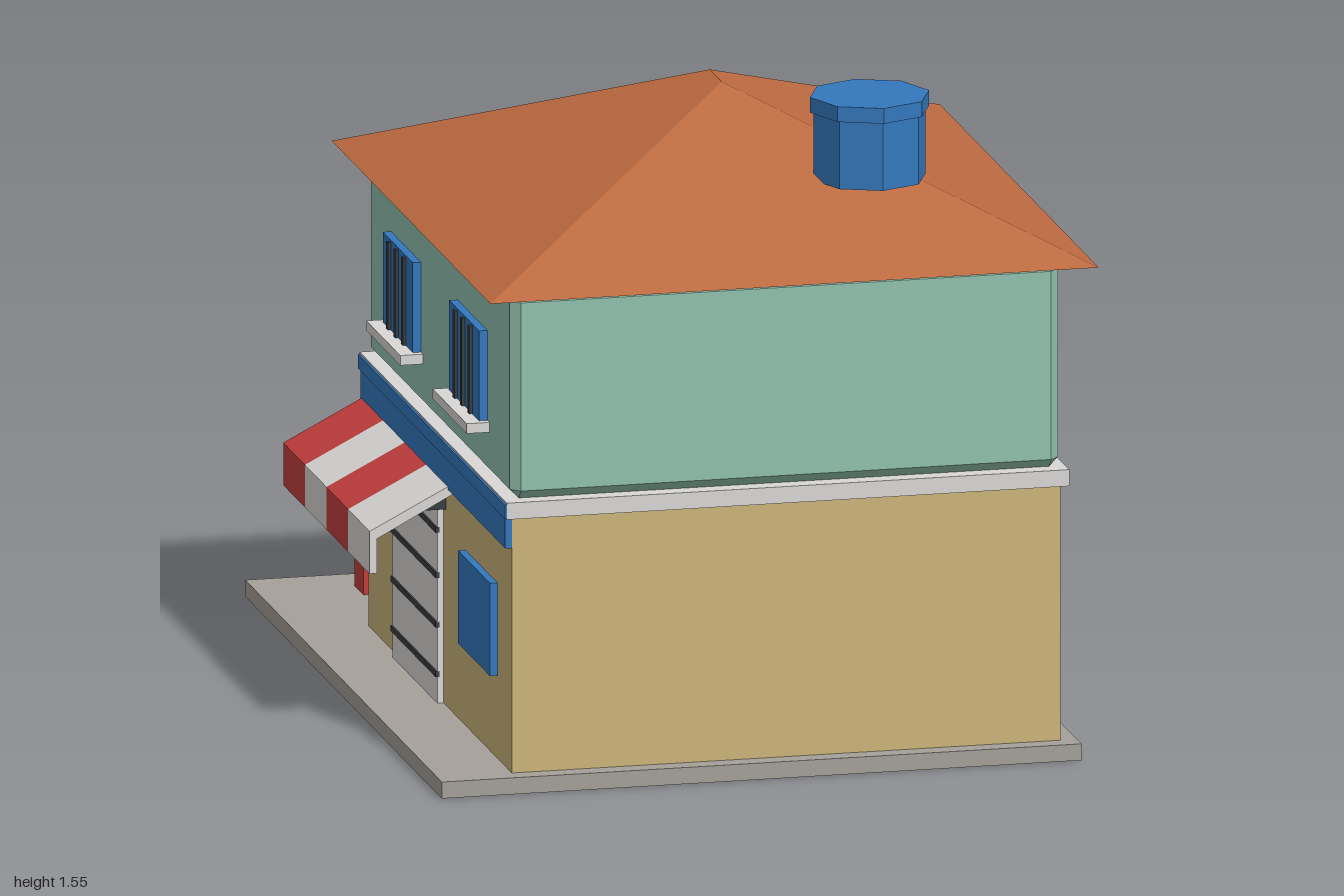
import * as THREE from 'three';
import { ConvexGeometry } from 'three/addons/geometries/ConvexGeometry.js';

const mat = (name, color) => {
  const m = new THREE.MeshStandardMaterial({ color });
  m.name = name;
  return m;
};

export function createModel() {
  const pavement = mat('pavement', 0xa5a199);
  const beige = mat('beigeWall', 0xccb67a);
  const mint = mat('mintWall', 0x92c2b0);
  const white = mat('paleGrey', 0xdad8d6);
  const tile = mat('roofTile', 0xbc6a40);
  const blue = mat('blue', 0x3478bd);
  const dark = mat('darkGrey', 0x3a3d42);
  const red = mat('red', 0xc23f3d);
  const yellow = mat('yellow', 0xd2a636);
  const green = mat('leafGreen', 0x5cb04a);
  tile.flatShading = blue.flatShading = green.flatShading = false;

  const model = new THREE.Group();
  model.name = 'cornerShop';

  const add = (parent, name, geometry, material) => {
    const mesh = new THREE.Mesh(geometry, material);
    mesh.name = name;
    parent.add(mesh);
    return mesh;
  };
  // box given by its limits on each axis
  const box = (parent, name, material, x0, x1, y0, y1, z0, z1) => {
    const mesh = add(parent, name, new THREE.BoxGeometry(x1 - x0, y1 - y0, z1 - z0), material);
    mesh.position.set((x0 + x1) / 2, (y0 + y1) / 2, (z0 + z1) / 2);
    return mesh;
  };
  const group = (parent, name) => {
    const g = new THREE.Group();
    g.name = name;
    parent.add(g);
    return g;
  };

  // main volumes
  box(model, 'pavementSlab', pavement, -0.78, 0.765, 0, 0.04, -1, 0.97);
  box(model, 'lowerWalls', beige, -0.6, 0.725, 0.04, 0.66, -0.51, 0.925);
  box(model, 'floorTrim', white, -0.617, 0.742, 0.66, 0.7, -0.53, 0.945);

  // upper storey with chamfered edges
  const c = 0.022, half = [0.6625, 0.25, 0.7175], pts = [];
  for (const sx of [-1, 1]) for (const sy of [-1, 1]) for (const sz of [-1, 1])
    for (let k = 0; k < 3; k++) {
      const h = half.map((v, i) => (i === k ? v : v - c));
      pts.push(new THREE.Vector3(sx * h[0], sy * h[1], sz * h[2]));
    }
  add(model, 'upperWalls', new ConvexGeometry(pts), mint).position.set(0.0625, 0.95, 0.2075);

  // hipped roof
  const roofPts = [[-0.67, 1.2, -0.59], [0.8, 1.2, -0.59], [-0.67, 1.2, 1], [0.8, 1.2, 1],
    [0.065, 1.513, 0.15], [0.065, 1.513, 0.268]].map(p => new THREE.Vector3(...p));
  add(model, 'roof', new ConvexGeometry(roofPts), tile);

  // octagonal water tank
  const prism = (name, r, y0, y1) => {
    const g = new THREE.CylinderGeometry(r, r, y1 - y0, 8).toNonIndexed();
    g.computeVertexNormals();
    add(model, name, g, blue).position.set(0.34, (y0 + y1) / 2, 0.61);
  };
  prism('tankBody', 0.135, 1.35, 1.515);
  prism('tankLid', 0.144, 1.515, 1.552);

  // the two street fronts: local x runs along the wall, local z points outward
  const back = group(model, 'backFront');
  back.position.z = -0.51;
  back.rotation.y = Math.PI;
  const side = group(model, 'sideFront');
  side.position.x = -0.6;
  side.rotation.y = -Math.PI / 2;

  // blue fascia bands
  box(back, 'fascia', blue, -0.725, 0.615, 0.585, 0.66, 0, 0.018);
  box(back, 'fasciaStrip', blue, -0.742, 0.61, 0.662, 0.696, 0.018, 0.025);
  box(side, 'fascia', blue, -0.525, 0.925, 0.585, 0.66, 0, 0.016);
  box(side, 'fasciaStrip', blue, -0.525, 0.945, 0.662, 0.696, 0.016, 0.022);
  box(back, 'signPlate', white, -0.47, 0.33, 0.585, 0.615, 0.018, 0.028);

  // striped awnings: one extruded cross-section per stripe
  const awning = (parent, profile, x0, x1, count, colours) => {
    const g = group(parent, 'awning');
    const shape = new THREE.Shape(profile.map(p => new THREE.Vector2(...p)));
    const w = (x1 - x0) / count;
    for (let i = 0; i < count; i++) {
      const geo = new THREE.ExtrudeGeometry(shape, { depth: w, bevelEnabled: false });
      geo.rotateY(-Math.PI / 2);
      geo.translate(x0 + (i + 1) * w, 0, 0);
      add(g, 'awningStripe', geo, colours[i % 2]);
    }
  };
  awning(back, [[0, 0.583], [0.353, 0.44], [0.353, 0.357], [0.375, 0.357], [0.375, 0.455], [0, 0.603]],
    -0.725, 0.6, 6, [red, white]);
  awning(side, [[0, 0.575], [0.187, 0.476], [0.187, 0.392], [0.205, 0.392], [0.205, 0.495], [0, 0.6]],
    -0.515, 0.35, 4, [red, white]);

  // barred windows with sills
  const barredWindow = (parent, x) => {
    const g = group(parent, 'barredWindow');
    box(g, 'windowPane', blue, x - 0.15, x + 0.15, 0.83, 1.052, 0, 0.02);
    for (const d of [-0.075, 0, 0.075])
      box(g, 'windowBar', dark, x + d - 0.009, x + d + 0.009, 0.835, 1.047, 0.015, 0.028);
    box(g, 'windowSill', white, x - 0.17, x + 0.17, 0.81, 0.834, 0, 0.055);
  };
  for (const x of [-0.4, 0.27]) barredWindow(back, x);
  for (const x of [-0.135, 0.53]) barredWindow(side, x);

  // plant on a sill
  add(back, 'plant', new THREE.IcosahedronGeometry(0.052, 0), green).position.set(-0.395, 0.88, 0.065);

  // kiosk hatch with counter and cool box
  box(back, 'hatchOpening', dark, -0.66, -0.11, 0.2, 0.53, 0, 0.008);
  box(back, 'counter', white, -0.68, -0.107, 0.04, 0.205, 0, 0.09);
  box(back, 'coolBox', blue, -0.645, -0.51, 0.205, 0.27, 0.015, 0.08);
  box(back, 'coolBoxLid', tile, -0.64, -0.515, 0.27, 0.285, 0.02, 0.075);

  // half-raised shutter door
  box(back, 'doorOpening', dark, 0.04, 0.49, 0.04, 0.53, 0, 0.008);
  box(back, 'shutter', white, 0.045, 0.485, 0.32, 0.52, 0.008, 0.02);
  for (const y of [0.36, 0.41, 0.46])
    box(back, 'shutterSlat', dark, 0.045, 0.485, y - 0.006, y + 0.006, 0.015, 0.024);
  box(back, 'shutterHousing', dark, 0.02, 0.51, 0.515, 0.565, 0, 0.065);

  // closed shutter and blue panel on the side
  box(side, 'shutter', white, -0.21, 0.24, 0.04, 0.515, 0, 0.015);
  for (const y of [0.11, 0.23, 0.35, 0.46])
    box(side, 'shutterSlat', dark, -0.21, 0.24, y - 0.007, y + 0.007, 0.01, 0.019);
  box(side, 'shutterHousing', dark, -0.235, 0.265, 0.515, 0.565, 0, 0.063);
  box(side, 'bluePanel', blue, 0.46, 0.78, 0.24, 0.465, 0, 0.018);

  // outdoor tables, each with a chair on both sides
  const diningSet = (name, x, material) => {
    const g = group(model, name);
    g.position.set(x, 0, -0.842);
    box(g, 'tableTop', material, -0.093, 0.093, 0.197, 0.218, -0.093, 0.093);
    box(g, 'tablePedestal', material, -0.045, 0.045, 0.04, 0.197, -0.045, 0.045);
    for (const s of [-1, 1]) {
      const chair = group(g, 'chair');
      chair.rotation.y = s > 0 ? 0 : Math.PI;
      box(chair, 'chairBase', material, 0.115, 0.2, 0.04, 0.12, -0.045, 0.045);
      box(chair, 'chairSeat', material, 0.108, 0.21, 0.12, 0.137, -0.052, 0.052);
      box(chair, 'chairBack', material, 0.19, 0.21, 0.137, 0.252, -0.052, 0.052);
    }
  };
  diningSet('yellowDiningSet', 0.428, yellow);
  diningSet('redDiningSet', -0.343, red);

  return model;
}
